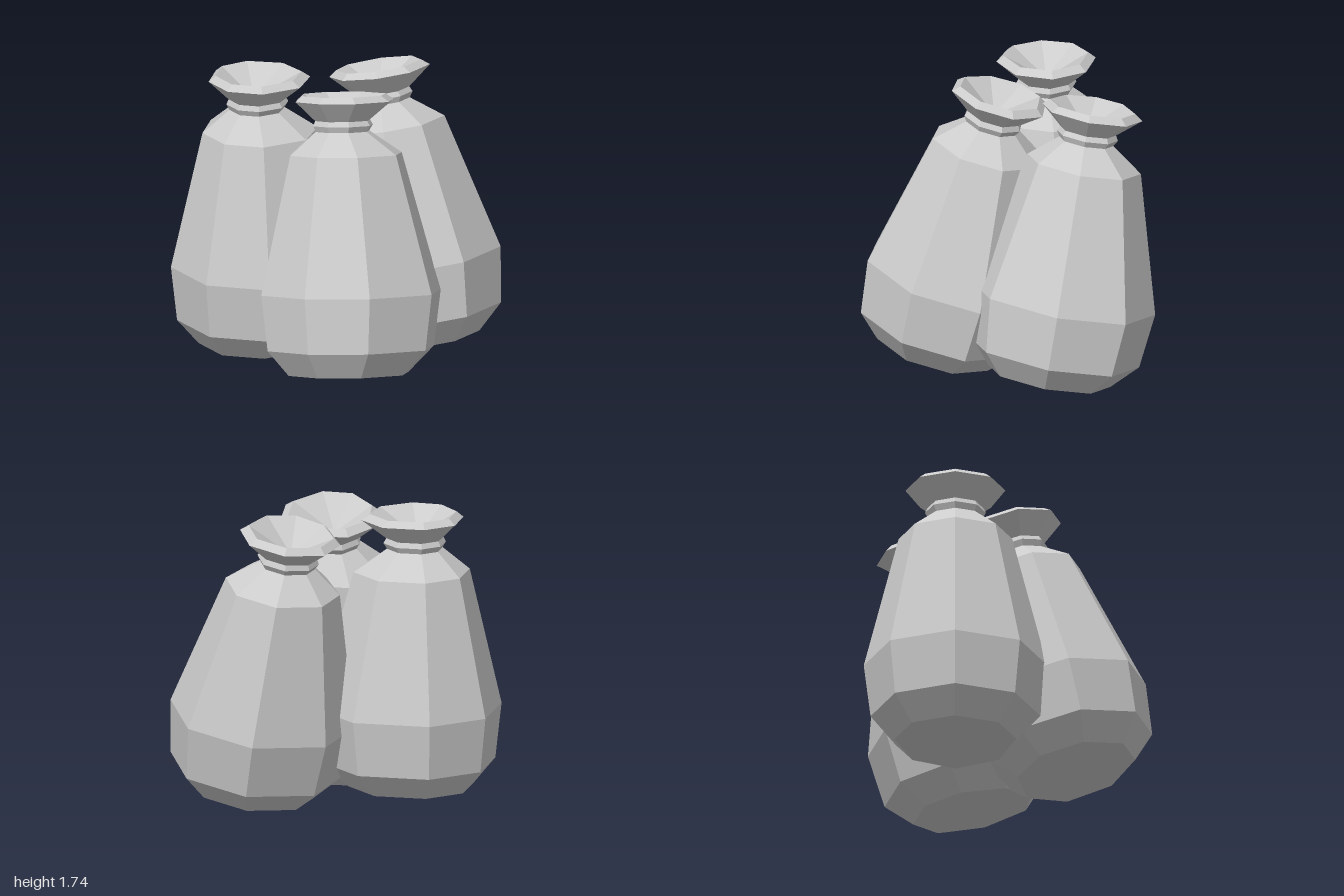
import * as THREE from 'three';

// Sack outline [radius, height]: base, belly, shoulder, tied neck, flared mouth, inner funnel
const PROFILE = [
  [0, 0], [0.36, 0], [0.5, 0.15], [0.54, 0.48], [0.335, 1.3],
  [0.16, 1.435], [0.18, 1.47], [0.165, 1.5],
  [0.295, 1.615], [0.25, 1.65], [0, 1.5],
];

// Eight-sided sack, a little fuller on its +x half
function sackGeometry() {
  const lathe = new THREE.LatheGeometry(PROFILE.map(([r, y]) => new THREE.Vector2(r, y)), 8);
  const geometry = lathe.toNonIndexed();
  const pos = geometry.attributes.position;
  for (let i = 0; i < pos.count; i++) {
    const x = pos.getX(i);
    pos.setX(i, x * (x > 0 ? 1.14 : 0.92));
  }
  geometry.computeVertexNormals();
  return geometry;
}

// Base position, lean about x and z, and turn about the sack's own axis
const SACKS = [
  { name: 'uprightSack', at: [-0.5, 0.09, -0.31], leanX: 0, leanZ: 0, turn: 0 },
  { name: 'frontSack', at: [-0.095, 0.085, 0.4], leanX: -0.235, leanZ: -0.03, turn: 0.15 },
  { name: 'leaningSack', at: [0.44, 0.078, -0.2], leanX: -0.175, leanZ: 0.11, turn: 0.56 },
];

export function createModel() {
  const model = new THREE.Group();
  model.name = 'sackPile';
  const cloth = new THREE.MeshStandardMaterial({ color: 0xcccccc, flatShading: true });
  const geometry = sackGeometry();
  for (const { name, at, leanX, leanZ, turn } of SACKS) {
    const sack = new THREE.Mesh(geometry, cloth);
    sack.name = name;
    sack.position.set(...at);
    sack.rotation.set(leanX, turn, leanZ, 'XZY');
    model.add(sack);
  }
  return model;
}
